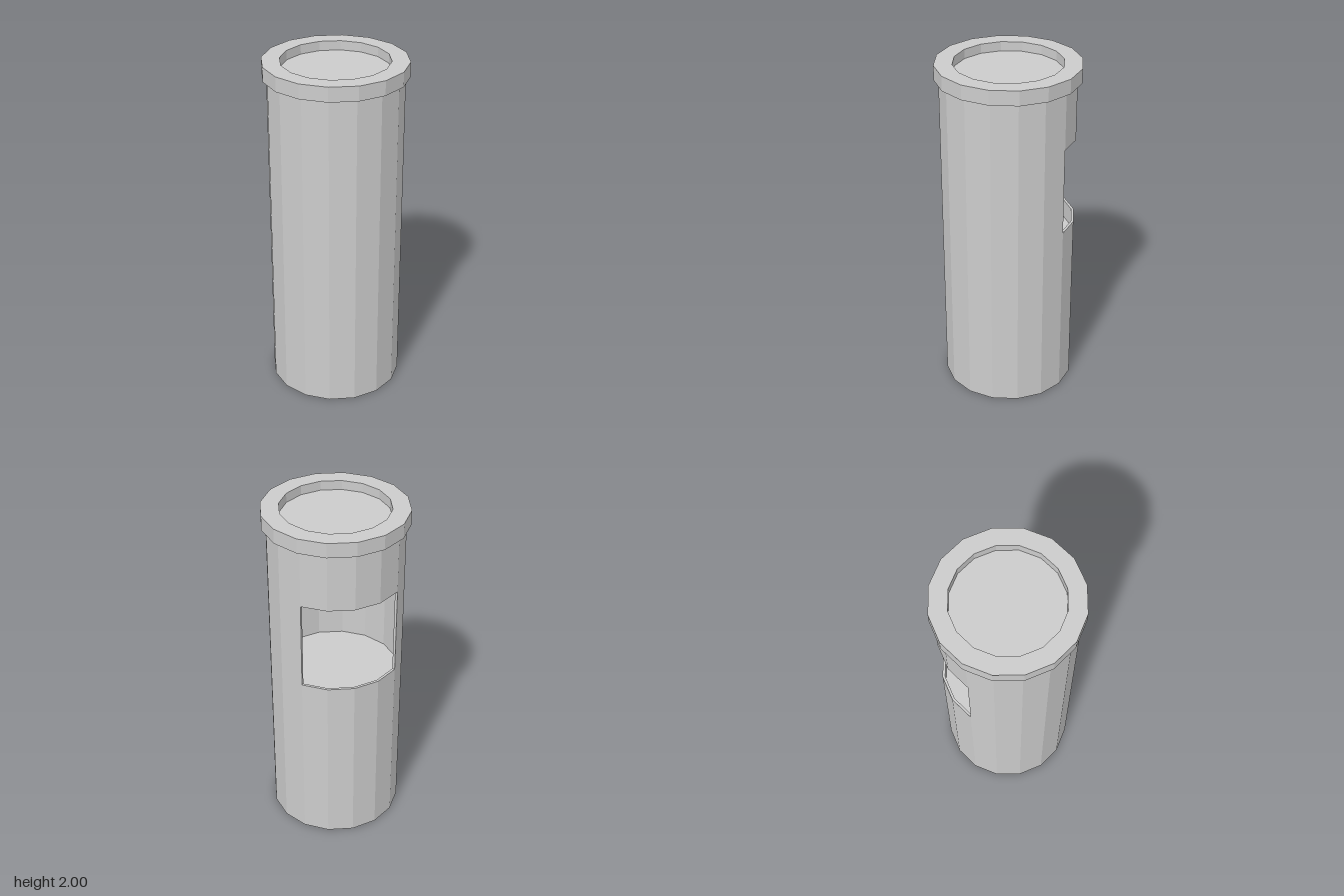
import * as THREE from 'three';

const SIDES = 16;
const OUTER = 0.385, INNER = 0.37;      // tube wall radii
const SILL = 1.06, LINTEL = 1.577;      // window bottom and top
const FLOOR = 0.95, CEILING = 1.93;     // inner chamber

const material = new THREE.MeshStandardMaterial({ color: 0xcccccc, flatShading: true });
const thinMaterial = new THREE.MeshStandardMaterial({ color: 0xcccccc, flatShading: true, side: THREE.DoubleSide });

// Faceted surface of revolution from [radius, height] pairs
function turned(name, profile, segments = SIDES, start = 0, sweep = Math.PI * 2) {
  const points = profile.map(([r, y]) => new THREE.Vector2(r, y));
  const mesh = new THREE.Mesh(new THREE.LatheGeometry(points, segments, start, sweep), material);
  mesh.name = name;
  return mesh;
}

export function createModel() {
  const model = new THREE.Group();
  model.name = 'windowedTube';

  // Lower body with the chamber floor sunk below the sill
  model.add(turned('lowerBody', [
    [0, 0], [OUTER, 0], [OUTER, SILL], [INNER, SILL], [INNER, FLOOR], [0, FLOOR],
  ]));

  // Upper body: chamber ceiling, lintel, projecting rim and recessed top
  model.add(turned('upperBodyAndRim', [
    [0, CEILING], [INNER, CEILING], [INNER, LINTEL], [OUTER, LINTEL], [OUTER, 1.915],
    [0.41, 1.915], [0.41, 2], [0.308, 2], [0.308, 1.945], [0, 1.945],
  ]));

  // Wall beside the window, open over four panels at the back
  const start = -Math.PI * 3 / 4, sweep = Math.PI * 3 / 2;
  model.add(turned('outerWall', [[OUTER, SILL], [OUTER, LINTEL]], 12, start, sweep));
  model.add(turned('innerWall', [[INNER, LINTEL], [INNER, SILL]], 12, start, sweep));

  // Window jambs close the wall thickness
  for (const side of [-1, 1]) {
    const angle = side * Math.PI * 3 / 4, r = (OUTER + INNER) / 2;
    const jamb = new THREE.Mesh(new THREE.PlaneGeometry(OUTER - INNER, LINTEL - SILL), thinMaterial);
    jamb.position.set(r * Math.sin(angle), (SILL + LINTEL) / 2, r * Math.cos(angle));
    jamb.rotation.y = angle - Math.PI / 2;
    jamb.name = side > 0 ? 'leftJamb' : 'rightJamb';
    model.add(jamb);
  }

  return model;
}
